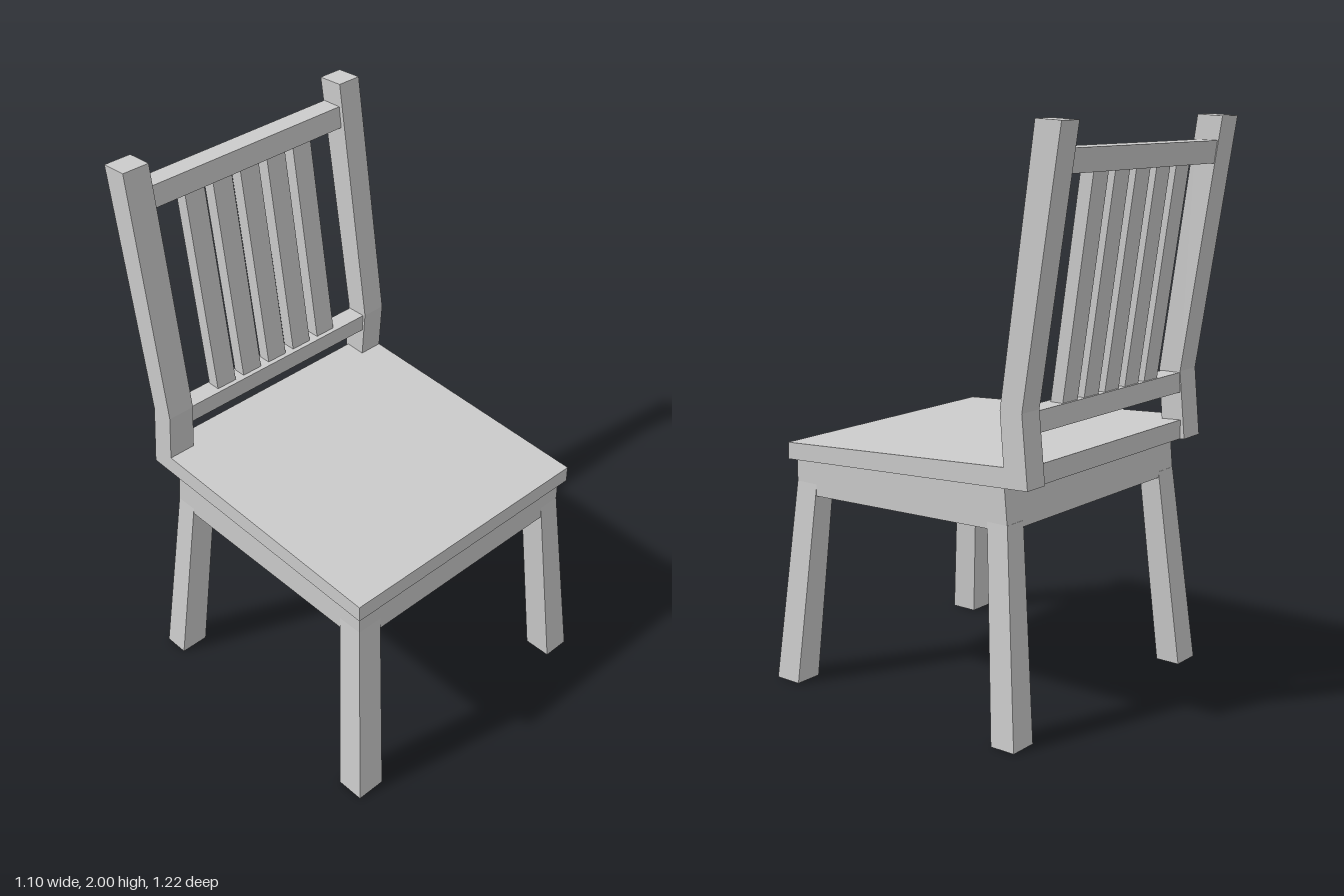
import * as THREE from 'three';

const material = new THREE.MeshStandardMaterial({ color: 0xcccccc, flatShading: true });

// Side profile of [z, y] points, extruded across the width from x0 to x1
function slab(name, points, x0, x1) {
  const shape = new THREE.Shape(points.map(([z, y]) => new THREE.Vector2(z, y)));
  const geometry = new THREE.ExtrudeGeometry(shape, { depth: x1 - x0, bevelEnabled: false });
  geometry.rotateY(-Math.PI / 2).translate(x1, 0, 0);
  const mesh = new THREE.Mesh(geometry, material);
  mesh.name = name;
  return mesh;
}

// Box whose bottom and top are separate rectangles: { x: [min, max], z: [min, max], y }
function taperedBox(name, bottom, top) {
  const geometry = new THREE.BoxGeometry(1, 1, 1);
  const p = geometry.attributes.position;
  for (let i = 0; i < p.count; i++) {
    const end = p.getY(i) > 0 ? top : bottom;
    p.setXYZ(i, end.x[p.getX(i) > 0 ? 1 : 0], end.y, end.z[p.getZ(i) > 0 ? 1 : 0]);
  }
  geometry.computeVertexNormals();
  const mesh = new THREE.Mesh(geometry, material);
  mesh.name = name;
  return mesh;
}

export function createModel() {
  const chair = new THREE.Group();
  chair.name = 'chair';

  // Sloping seat board and the solid frame below it
  chair.add(slab('seat', [[0.565, 0.81], [0.565, 0.87], [-0.47, 0.93], [-0.47, 0.861]], -0.515, 0.51));
  chair.add(slab('seatFrame', [[0.545, 0.686], [0.545, 0.82], [-0.378, 0.865], [-0.392, 0.709]], -0.495, 0.488));

  // Splayed legs
  const legSides = {
    right: { foot: [-0.553, -0.445], knee: [-0.495, -0.4] },
    left: { foot: [0.448, 0.55], knee: [0.404, 0.488] },
  };
  const legEnds = {
    front: { foot: [0.507, 0.61], knee: [0.452, 0.545] },
    rear: { foot: [-0.465, -0.372], knee: [-0.391, -0.309] },
  };
  for (const [end, z] of Object.entries(legEnds)) {
    for (const [side, x] of Object.entries(legSides)) {
      chair.add(taperedBox(`${end}Leg_${side}`,
        { x: x.foot, z: z.foot, y: 0 },
        { x: x.knee, z: z.knee, y: 0.73 }));
    }
  }

  // Bent back posts
  const post = [[-0.398, 0.858], [-0.378, 1.105], [-0.51, 2], [-0.607, 1.995], [-0.464, 1.105], [-0.487, 0.862]];
  chair.add(slab('backPost_right', post, -0.515, -0.413));
  chair.add(slab('backPost_left', post, 0.419, 0.51));

  // Cross rails between the posts
  chair.add(slab('topRail', [[-0.503, 1.838], [-0.513, 1.915], [-0.59, 1.913], [-0.579, 1.836]], -0.42, 0.425));
  chair.add(slab('lowerRail', [[-0.392, 1.033], [-0.388, 1.1], [-0.461, 1.1], [-0.466, 1.03]], -0.42, 0.425));

  // Five leaning slats
  for (let i = 0; i < 5; i++) {
    const x = 0.002 + (i - 2) * 0.119;
    chair.add(slab(`slat${i + 1}`,
      [[-0.405, 1.095], [-0.515, 1.845], [-0.565, 1.845], [-0.453, 1.095]], x - 0.041, x + 0.041));
  }

  return chair;
}
